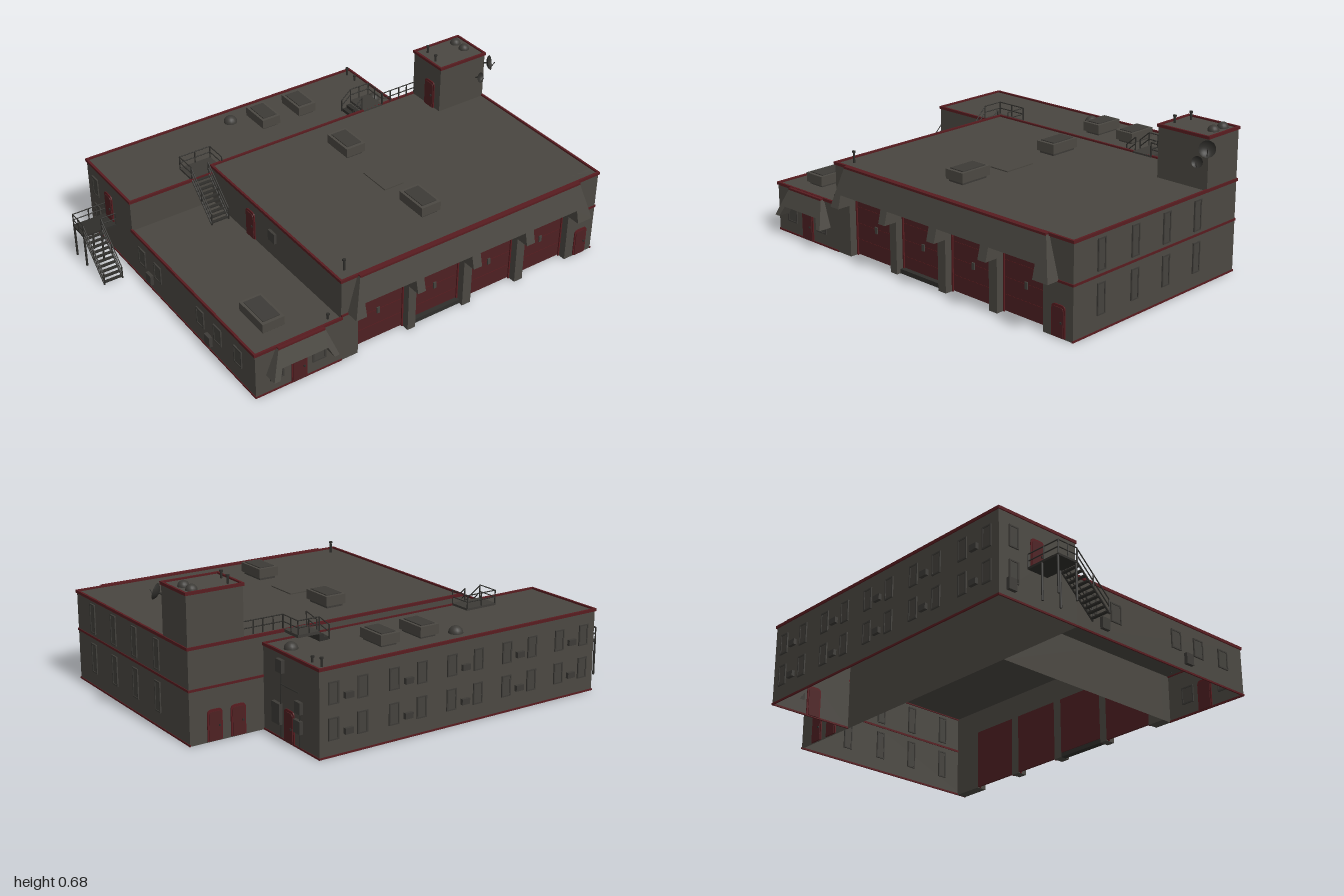
import * as THREE from 'three';

const mat = (name, color) => Object.assign(new THREE.MeshStandardMaterial({ color, side: THREE.DoubleSide }), { name });

export function createModel() {
  const root = new THREE.Group();
  root.name = 'garageBuilding';
  const wall = mat('wallGrey', 0x4b4842), roof = mat('roofGrey', 0x494640), frame = mat('frameGrey', 0x3d3b37);
  const glass = mat('windowGrey', 0x44423d), metal = mat('darkMetal', 0x2f2e2b);
  const red = mat('doorRed', 0x4e2022), trim = mat('trimRed', 0x581c20);

  const add = (name, geo, m, parent = root) => {
    const mesh = new THREE.Mesh(geo, m);
    mesh.name = name;
    parent.add(mesh);
    return mesh;
  };
  // box given by its limits
  const box = (name, x0, x1, y0, y1, z0, z1, m, parent) => {
    const b = add(name, new THREE.BoxGeometry(x1 - x0, y1 - y0, z1 - z0), m, parent);
    b.position.set((x0 + x1) / 2, (y0 + y1) / 2, (z0 + z1) / 2);
    return b;
  };
  const bar = (name, a, b, r = 0.003, m = metal, parent = root) => {
    const p = new THREE.Vector3(...a), q = new THREE.Vector3(...b), d = q.clone().sub(p);
    const c = add(name, new THREE.CylinderGeometry(r, r, d.length(), 6), m, parent);
    c.position.copy(p).add(q).multiplyScalar(0.5);
    c.quaternion.setFromUnitVectors(new THREE.Vector3(0, 1, 0), d.normalize());
  };
  // group on a wall: u runs along the wall, d is the wall's own coordinate
  const turns = { '+z': 0, '-z': Math.PI, '+x': Math.PI / 2, '-x': -Math.PI / 2 };
  const onWall = (name, face, u, y, d) => {
    const g = new THREE.Group();
    g.name = name;
    g.rotation.y = turns[face];
    if (face[1] === 'z') g.position.set(u, y, d); else g.position.set(d, y, u);
    root.add(g);
    return g;
  };
  const shapeOf = pts => new THREE.Shape(pts.map(p => new THREE.Vector2(...p)));
  const extrude = (shape, depth) => new THREE.ExtrudeGeometry(shape, { depth, bevelEnabled: false, curveSegments: 5 });

  // open-bottomed block; skipped sides are 0 +x, 1 -x, 2 top, 3 bottom, 4 +z, 5 -z
  const shell = (name, x0, x1, y1, z0, z1, skip = []) => {
    const b = box(name, x0, x1, 0, y1, z0, z1, [wall, roof]);
    const g = b.geometry, all = Array.from(g.index.array), keep = [];
    g.clearGroups();
    for (let s = 0; s < 6; s++) {
      if (s === 3 || skip.includes(s)) continue;
      g.addGroup(keep.length, 6, s === 2 ? 1 : 0);
      keep.push(...all.slice(s * 6, s * 6 + 6));
    }
    g.setIndex(keep);
  };
  // band running round a rectangle
  const band = (name, x0, x1, y0, y1, z0, z1, sides = 'lrfb', t = 0.005) => {
    if (sides.includes('l')) box(name, x0 - t, x0 + t, y0, y1, z0 - t, z1 + t, trim);
    if (sides.includes('r')) box(name, x1 - t, x1 + t, y0, y1, z0 - t, z1 + t, trim);
    if (sides.includes('f')) box(name, x0 - t, x1 + t, y0, y1, z1 - t, z1 + t, trim);
    if (sides.includes('b')) box(name, x0 - t, x1 + t, y0, y1, z0 - t, z0 + t, trim);
  };

  const L = -0.835, M = -0.42, R = 0.965, W = 0.615, F = 0.69, P = -0.328, B = -0.74;
  shell('hallShell', M, R, 0.41, P, F, [4]);
  shell('sideWing', L, M, 0.222, P, F, [0]);
  shell('rearWing', L, W, 0.372, B, P);
  box('tower', 0.705, R, 0.405, 0.638, P, -0.125, wall);
  band('hallRoofTrim', M, R, 0.405, 0.418, P, F);
  band('sideWingRoofTrim', L, M, 0.217, 0.23, P, F, 'lf');
  band('rearWingRoofTrim', L, W, 0.367, 0.38, B, P);
  band('towerTrim', 0.705, R, 0.632, 0.645, P, -0.125);
  band('hallMidBand', M, R, 0.23, 0.24, P, F, 'r', 0.003);
  box('frontBand', M, -0.38, 0.23, 0.24, F, F + 0.004, trim);
  box('frontBand', 0.885, R, 0.23, 0.24, F, F + 0.004, trim);
  box('rearBand', W, R, 0.23, 0.24, P - 0.004, P, trim);
  band('hallBaseBand', M, R, 0, 0.008, P, F, 'r', 0.003);
  band('rearBaseBand', L, W, 0, 0.008, B, P, 'lrb', 0.003);
  band('sideBaseBand', L, M, 0, 0.008, P, F, 'lf', 0.003);

  // hall front with four recessed vehicle doors
  const doors = [[-0.335, -0.075], [-0.035, 0.22], [0.265, 0.515], [0.56, 0.81]];
  const notch = (y, top) => doors.flatMap(([a, b]) => [[a, y], [a, top], [b, top], [b, y]]);
  add('hallFrontWall', extrude(shapeOf([[M, 0], ...notch(0, 0.295), [R, 0], [R, 0.41], [M, 0.41]]), 0.05), wall)
    .position.z = F - 0.05;
  doors.forEach(([a, b], i) => {
    const y0 = i === 1 ? 0.022 : 0.004, c = (a + b) / 2;
    box('vehicleDoor', a, b, y0, 0.295, F - 0.05, F - 0.04, red);
    for (let k = 1; k < 4; k++) box('doorSeam', a, b, k * 0.074, k * 0.074 + 0.002, F - 0.04, F - 0.039, trim);
    box('doorFrame', a, a + 0.007, 0, 0.295, F - 0.04, F - 0.034, trim);
    box('doorFrame', b - 0.007, b, 0, 0.295, F - 0.04, F - 0.034, trim);
    box('doorFrame', a, b, 0.288, 0.295, F - 0.04, F - 0.034, trim);
    box('doorHandle', c - 0.007, c + 0.007, 0.13, 0.16, F - 0.04, F - 0.034, glass);
  });
  box('doorSill', -0.035, 0.22, 0, 0.02, F - 0.05, F - 0.02, metal);
  add('doorScuff', new THREE.ShapeGeometry(shapeOf([[0, 0.275], [0.06, 0.28], [0.19, 0.277], [0.17, 0.262], [0.1, 0.264], [0.06, 0.256]])), wall)
    .position.z = F - 0.037;

  // sloping fascias: the front leans outward towards the bottom
  const fascia = (name, pts, yTop, yLow) => {
    const g = extrude(shapeOf(pts), 1), p = g.attributes.position;
    for (let i = 0; i < p.count; i++) {
      const out = 0.018 + 0.045 * (yTop - p.getY(i)) / (yTop - yLow);
      p.setZ(i, F + p.getZ(i) * out);
    }
    g.computeVertexNormals();
    add(name, g, wall);
  };
  fascia('hallFascia', [[-0.388, 0.235], ...notch(0.235, 0.295), [0.89, 0.235], [0.84, 0.412], [-0.34, 0.412]], 0.412, 0.235);
  box('fasciaCap', -0.34, 0.84, 0.408, 0.418, F, 0.71, trim);
  fascia('entranceCanopy', [[-0.785, 0.1], [-0.757, 0.1], [-0.735, 0.145], [-0.515, 0.145], [-0.495, 0.1], [-0.47, 0.1],
    [-0.51, 0.222], [-0.735, 0.222]], 0.222, 0.1);
  box('canopyCap', -0.735, -0.51, 0.219, 0.228, F, 0.71, trim);

  // round-cornered service doors
  const arch = (w, h, r) => {
    const s = new THREE.Shape();
    s.moveTo(-w / 2, 0); s.lineTo(w / 2, 0); s.lineTo(w / 2, h - r);
    s.quadraticCurveTo(w / 2, h, w / 2 - r, h); s.lineTo(r - w / 2, h);
    s.quadraticCurveTo(-w / 2, h, -w / 2, h - r); s.lineTo(-w / 2, 0);
    return s;
  };
  const serviceDoor = (face, u, y, d, w = 0.07, h = 0.135) => {
    const g = onWall('serviceDoor', face, u, y, d);
    add('doorSurround', extrude(arch(w, h, 0.02), 0.01), trim, g).position.z = -0.005;
    add('doorLeaf', extrude(arch(w - 0.014, h - 0.01, 0.015), 0.016), red, g).position.z = -0.008;
    box('handle', w * 0.22, w * 0.32, 0.06, 0.068, 0.008, 0.013, metal, g);
  };
  serviceDoor('+z', 0.892, 0.005, F);
  serviceDoor('+z', -0.627, 0.005, F, 0.075, 0.14);
  serviceDoor('+x', -0.525, 0.005, W, 0.072, 0.14);
  serviceDoor('-z', 0.74, 0.005, P);
  serviceDoor('-z', 0.85, 0.005, P);
  serviceDoor('-x', -0.54, 0.167, L);
  serviceDoor('-x', 0, 0.225, M);
  serviceDoor('-x', -0.2, 0.41, 0.705);

  // framed windows
  const windowAt = (face, u, y, d, w, h) => {
    const g = onWall('window', face, u, y, d), t = 0.006;
    box('pane', -w / 2, w / 2, -h / 2, h / 2, -0.003, 0.003, glass, g);
    for (const s of [-1, 1]) {
      add('frameSide', new THREE.BoxGeometry(t, h, 0.012), frame, g).position.x = s * (w - t) / 2;
      add('frameEnd', new THREE.BoxGeometry(w, t, 0.012), frame, g).position.y = s * (h - t) / 2;
    }
  };
  const wallBox = (name, face, u, y, d, w, h, t) =>
    box(name, -w / 2, w / 2, -h / 2, h / 2, 0, t, frame, onWall(name, face, u, y, d));
  for (const z of [0.532, 0.33, 0.135, -0.065]) for (const y of [0.138, 0.322]) windowAt('+x', z, y, R, 0.046, 0.135);
  for (const x of [-0.7, -0.405, -0.11, 0.185, 0.48]) for (const y of [0.1, 0.25]) {
    wallBox('airConditioner', '-z', x, y, B, 0.04, 0.026, 0.015);
    for (const s of [-0.07, 0.07]) windowAt('-z', x + s, y + 0.02, B, 0.05, 0.095);
  }
  for (const z of [-0.68, -0.175, 0.33]) wallBox('airConditioner', '-x', z, 0.06, L, 0.042, 0.05, 0.016);
  for (const z of [-0.245, -0.105, 0.26, 0.4, 0.56]) windowAt('-x', z, 0.13, L, 0.06, 0.085);
  for (const y of [0.12, 0.27]) windowAt('-x', -0.665, y, L, 0.05, 0.095);
  for (const x of [-0.735, -0.53]) windowAt('+z', x, 0.1, F, 0.065, 0.08);

  // utility boxes and conduits
  for (const [z, y, w, h] of [[-0.44, 0.11, 0.06, 0.09], [-0.467, 0.318, 0.045, 0.055], [-0.602, 0.18, 0.042, 0.05], [-0.597, 0.098, 0.05, 0.055]])
    wallBox('utilityBox', '+x', z, y, W, w, h, 0.016);
  bar('conduit', [W + 0.005, 0.29, -0.467], [W + 0.005, 0.01, -0.467]);
  bar('conduit', [W + 0.005, 0.2, -0.605], [W + 0.005, 0.01, -0.605]);
  bar('conduit', [W + 0.005, 0.24, -0.467], [W + 0.005, 0.24, -0.6]);
  wallBox('utilityBox', '-x', 0.18, 0.33, M, 0.05, 0.05, 0.012);

  // rooftop plant
  const unit = (x0, x1, y, z0, z1) => {
    box('unitBase', x0 + 0.01, x1 - 0.01, y, y + 0.02, z0 + 0.01, z1 - 0.01, frame);
    box('unitBody', x0, x1, y + 0.012, y + 0.055, z0, z1, wall);
    box('unitLid', x0 + 0.012, x1 - 0.012, y + 0.055, y + 0.059, z0 + 0.015, z1 - 0.015, frame);
  };
  unit(0.105, 0.205, 0.412, -0.18, -0.025);
  unit(0.105, 0.205, 0.412, 0.37, 0.53);
  unit(-0.04, 0.055, 0.37, -0.65, -0.5);
  unit(0.16, 0.255, 0.37, -0.65, -0.5);
  unit(-0.74, -0.635, 0.22, 0.42, 0.6);
  box('roofHatch', 0.105, 0.205, 0.408, 0.415, 0.105, 0.265, roof);
  for (const [x, y, z, r] of [[-0.125, 0.372, -0.655, 0.032], [0.555, 0.372, -0.445, 0.03], [0.915, 0.638, -0.285, 0.025], [0.915, 0.638, -0.22, 0.025]])
    add('ventDome', new THREE.SphereGeometry(r, 16, 6, 0, Math.PI * 2, 0, Math.PI / 2), frame).position.set(x, y, z);
  for (const [x, y, z, h] of [[-0.365, 0.41, 0.63, 0.055], [-0.465, 0.22, 0.66, 0.03], [0.58, 0.37, -0.705, 0.042], [0.58, 0.37, -0.64, 0.03],
    [0.73, 0.638, -0.2, 0.035], [0.75, 0.638, -0.285, 0.038]]) {
    bar('ventPipe', [x, y, z], [x, y + h, z], 0.005);
    bar('pipeCap', [x, y + h - 0.008, z], [x, y + h, z], 0.008);
  }

  // dishes on the tower front
  for (const [x, y, z, r, turn] of [[0.968, 0.595, -0.11, 0.036, 0.7], [0.925, 0.53, -0.11, 0.025, 0.3]]) {
    const g = new THREE.Group();
    g.name = 'dish';
    g.position.set(x, y, z);
    g.rotation.set(-0.25, turn, 0, 'YXZ');
    root.add(g);
    const cap = add('dishBowl', new THREE.SphereGeometry(r * 1.35, 18, 5, 0, Math.PI * 2, 0, 0.83), metal, g);
    cap.rotation.x = -Math.PI / 2;
    cap.position.z = r * 1.35;
    bar('feed', [0, -r * 0.8, 0.012], [0, 0, r * 1.1], 0.002, metal, g);
    bar('bracket', [x - 0.01, y - 0.01, z - 0.03], [x, y, z], 0.004);
  }

  // railings and stairs
  const railing = (pts, h = 0.06) => pts.forEach((p, i) => {
    const up = (q, f) => [q[0], q[1] + h * f, q[2]];
    bar('railPost', p, up(p, 1));
    if (i) for (const f of [0.5, 1]) bar('handrail', up(pts[i - 1], f), up(p, f), 0.0025);
  });
  const stair = (x0, x1, z0, z1, y0, y1, n) => {
    for (let i = 0; i < n; i++) {
      const t = (i + 0.5) / n, z = z0 + (z1 - z0) * t, y = y0 + (y1 - y0) * t;
      box('tread', x0, x1, y - 0.003, y + 0.003, z - 0.007, z + 0.007, metal);
    }
    for (const x of [x0, x1]) {
      bar('stringer', [x, y0, z0], [x, y1, z1], 0.004);
      railing([0, 0.5, 1].map(t => [x, y0 + (y1 - y0) * t, z0 + (z1 - z0) * t]));
    }
  };
  // outside stair
  box('landing', -1, L, 0.158, 0.167, -0.59, -0.485, metal);
  stair(-0.997, -0.908, -0.485, -0.315, 0.162, 0.003, 10);
  railing([[L, 0.165, -0.587], [-0.92, 0.165, -0.587], [-0.997, 0.165, -0.587], [-0.997, 0.165, -0.535], [-0.997, 0.165, -0.487]]);
  railing([[L, 0.165, -0.487], [-0.908, 0.165, -0.487]]);
  for (const z of [-0.587, -0.49]) for (const x of [-0.995, -0.91]) bar('landingLeg', [x, 0, z], [x, 0.16, z], 0.005);
  // stair between the rear and side wing roofs
  box('roofLanding', -0.525, -0.365, 0.372, 0.382, -0.435, P, frame);
  stair(-0.523, -0.437, P, -0.165, 0.377, 0.225, 10);
  railing([[-0.523, 0.38, P], [-0.523, 0.38, -0.433], [-0.445, 0.38, -0.433], [-0.367, 0.38, -0.433], [-0.367, 0.38, P]]);
  // steps from the rear wing roof to the hall roof
  box('roofBridge', 0.41, 0.515, 0.405, 0.418, -0.435, -0.32, frame);
  for (let i = 0; i < 2; i++) box('roofStep', 0.365 + i * 0.022, 0.387 + i * 0.022, 0.372, 0.387 + i * 0.014, -0.433, P - 0.006, metal);
  railing([[0.36, 0.375, -0.433], [0.41, 0.418, -0.433], [0.46, 0.418, -0.433], [0.513, 0.418, -0.433], [0.513, 0.418, -0.38], [0.513, 0.418, -0.322]]);
  railing([[0.513, 0.418, -0.318], [0.56, 0.418, -0.318], [0.61, 0.418, -0.318], [0.655, 0.418, -0.318], [0.703, 0.418, -0.318]]);
  railing([[0.36, 0.375, -0.338], [0.41, 0.418, -0.338]]);

  return root;
}
